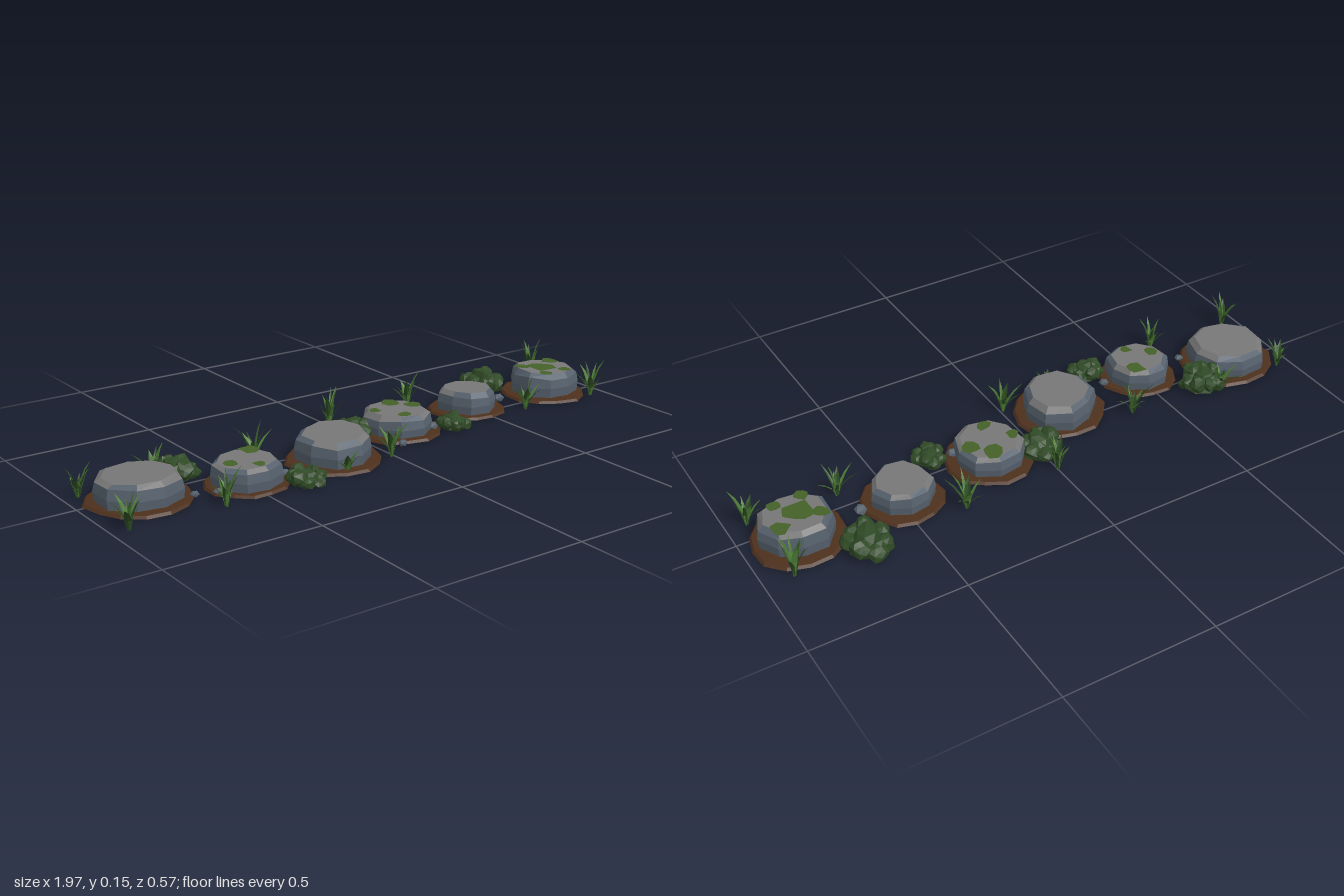
import * as THREE from 'three';
import { mergeGeometries, mergeVertices } from 'three/addons/utils/BufferGeometryUtils.js';

const material = (name, color, side = THREE.FrontSide) => {
  const m = new THREE.MeshStandardMaterial({ color, side, flatShading: true });
  m.name = name;
  return m;
};

// Small seeded generator, so every run is alike
const seeded = (s) => () => {
  s = (s * 16807 + 11) % 2147483647;
  return s / 2147483647;
};

const toGeometry = (points) => {
  const g = new THREE.BufferGeometry().setFromPoints(points);
  g.computeVertexNormals();
  return g;
};

// Walls between two rings of points, and a fan closing a ring
const wall = (low, high, i) => {
  const j = (i + 1) % low.length;
  return [low[i], high[i], low[j], low[j], high[i], high[j]];
};
const fan = (centre, ring, up = true) => ring.flatMap((p, i) => {
  const q = ring[(i + 1) % ring.length];
  return up ? [centre, q, p] : [centre, p, q];
});
const ringOf = (radii, scale, height) => radii.map((r, i) => {
  const a = (i / radii.length) * Math.PI * 2;
  const x = Math.cos(a) * r * scale, z = Math.sin(a) * r * scale;
  return new THREE.Vector3(x, typeof height === 'function' ? height(x, z) : height, z);
});

// Faceted lump with a flat underside
function lump(radius, squash, rnd, rough, detail = 1) {
  const raw = new THREE.IcosahedronGeometry(radius, detail);
  raw.deleteAttribute('normal');
  raw.deleteAttribute('uv');
  const g = mergeVertices(raw, 1e-4);
  const p = g.attributes.position;
  for (let i = 0; i < p.count; i++) {
    const k = 1 - rough / 2 + rnd() * rough;
    p.setXYZ(i, p.getX(i) * k, p.getY(i) * k * squash, p.getZ(i) * k);
  }
  return g.toNonIndexed();
}
function groundClamp(g) {
  const p = g.attributes.position;
  for (let i = 0; i < p.count; i++) p.setY(i, Math.max(0.001, p.getY(i)));
  g.computeVertexNormals();
  return g;
}

// Folded blade that bends outward: three cross-sections and a tip
function blade(angle, reach, height, width, start) {
  const out = new THREE.Vector3(Math.cos(angle), 0, Math.sin(angle));
  const across = new THREE.Vector3(-out.z, 0, out.x);
  const rows = [[0, 0.45], [0.35, 1], [0.7, 0.65], [1, 0]].map(([t, w]) => {
    const mid = out.clone().multiplyScalar(start + reach * t ** 1.6);
    mid.y = height * (1.25 * t - 0.25 * t * t);
    const edge = (s) => mid.clone().addScaledVector(across, s * w * width / 2)
      .addScaledVector(out, -w * width * 0.18);
    return [edge(-1), mid, edge(1)];
  });
  const pts = [];
  for (let r = 0; r < 3; r++) for (let s = 0; s < 2; s++) {
    const [a, b, c, d] = [rows[r][s], rows[r][s + 1], rows[r + 1][s], rows[r + 1][s + 1]];
    pts.push(a, c, b);
    if (r < 2) pts.push(b, c, d);
  }
  return toGeometry(pts);
}

export function createModel() {
  const root = new THREE.Group();
  root.name = 'steppingStonePath';
  const mats = {
    stoneTop: material('stone top grey', 0x777777),
    stoneSide: material('stone side slate', 0x56616d),
    soil: material('soil brown', 0x4d301d),
    moss: material('moss green', 0x456128, THREE.DoubleSide),
    bush: material('bush green', 0x304a26),
    light: material('light grass', 0x4d7c35, THREE.DoubleSide),
    dark: material('dark grass', 0x2d4d22, THREE.DoubleSide),
  };
  const add = (parent, name, geometry, mat) => {
    const m = new THREE.Mesh(geometry, mat);
    m.name = name;
    parent.add(m);
    return m;
  };
  const groupAt = (name, x, z) => {
    const g = new THREE.Group();
    g.name = name;
    g.position.set(x, 0, z);
    root.add(g);
    return g;
  };

  // Stones: x, z, soil radius, stone radius, height, moss patches [x, z, size]
  const stones = [
    [-0.815, 0.03, 0.162, 0.133, 0.085, []],
    [-0.5, 0.105, 0.128, 0.108, 0.082, [[0.045, -0.055, 0.03], [-0.06, 0.01, 0.025], [0.01, 0.06, 0.02]]],
    [-0.165, 0.077, 0.16, 0.126, 0.091, []],
    [0.155, -0.02, 0.148, 0.118, 0.077, [[0.02, -0.062, 0.033], [0.068, -0.01, 0.028], [-0.02, 0.066, 0.026], [-0.075, -0.02, 0.02]]],
    [0.48, -0.06, 0.132, 0.1, 0.082, []],
    [0.83, -0.052, 0.15, 0.116, 0.094, [[-0.015, 0, 0.045], [0.062, -0.045, 0.03], [-0.05, 0.065, 0.026], [-0.07, -0.04, 0.026], [0.04, 0.06, 0.02]]],
  ];
  stones.forEach(([x, z, soilR, stoneR, h, patches], k) => {
    const rnd = seeded(917 + k * 7331);
    rnd();
    const g = groupAt('steppingStone' + (k + 1), x, z);

    // Soil bed with a ragged rim
    const soilRadii = Array.from({ length: 13 }, () => soilR * (0.93 + rnd() * 0.12));
    const base = ringOf(soilRadii, 1, 0), rim = ringOf(soilRadii, 0.95, 0.008);
    const soil = [...fan(new THREE.Vector3(), base, false), ...fan(new THREE.Vector3(0, 0.016, 0), rim)];
    base.forEach((_, i) => soil.push(...wall(base, rim, i)));
    add(g, 'soilBed', toGeometry(soil), mats.soil);

    // Stone block with chipped bevels and a slightly tilted top
    const radii = Array.from({ length: 9 }, () => stoneR * (0.92 + rnd() * 0.14));
    const tx = (rnd() - 0.5) * 0.06, tz = (rnd() - 0.5) * 0.06;
    const top = (px, pz) => h - 0.003 + tx * px + tz * pz;
    const foot = ringOf(radii, 0.97, 0.004), belly = ringOf(radii, 1, h * 0.45);
    const shoulder = ringOf(radii, 0.95, () => h * (0.74 + rnd() * 0.12));
    const cap = ringOf(radii, 0.81, top);
    const sides = [], tops = fan(new THREE.Vector3(0, top(0, 0), 0), cap);
    radii.forEach((_, i) => {
      sides.push(...wall(foot, belly, i), ...wall(belly, shoulder, i));
      (rnd() < 0.5 ? tops : sides).push(...wall(shoulder, cap, i));
    });
    add(g, 'stoneSides', toGeometry(sides), mats.stoneSide);
    add(g, 'stoneTop', toGeometry(tops), mats.stoneTop);

    // Moss lying on the top face
    patches.forEach(([mx, mz, size]) => {
      const edge = ringOf(Array.from({ length: 8 }, () => size * (0.75 + rnd() * 0.5)), 1, 0);
      edge.forEach((p) => p.set(p.x + mx, top(p.x + mx, p.z + mz) + 0.002, p.z + mz));
      add(g, 'mossPatch', toGeometry(fan(new THREE.Vector3(mx, top(mx, mz) + 0.002, mz), edge)), mats.moss);
    });
  });

  // Bushes: a main lump ringed by smaller ones
  [[-0.655, -0.055, 0.072, 0.07], [-0.35, 0.205, 0.062, 0.05], [0, -0.07, 0.07, 0.07],
    [0.325, 0.065, 0.06, 0.05], [0.675, -0.205, 0.08, 0.085]].forEach(([x, z, r, h], k) => {
    const rnd = seeded(4021 + k * 977);
    const parts = [groundClamp(lump(r * 0.68, h / (r * 0.72), rnd, 0.3))];
    for (let i = 0; i < 7; i++) {
      const a = (i / 7) * Math.PI * 2 + rnd() * 0.5, s = r * (0.34 + rnd() * 0.12);
      const l = lump(s, 0.95, rnd, 0.4);
      l.translate(Math.cos(a) * r * 0.62, h * (0.2 + rnd() * 0.35), Math.sin(a) * r * 0.62);
      parts.push(groundClamp(l));
    }
    add(groupAt('bush' + (k + 1), x, z), 'foliage', mergeGeometries(parts), mats.bush);
  });

  // Grass tufts: x, z, height
  [[-0.95, -0.09, 0.11], [-0.945, 0.215, 0.12], [-0.7, -0.1, 0.11], [-0.64, 0.225, 0.125],
    [-0.37, -0.06, 0.13], [-0.2, 0.2, 0.07], [-0.01, 0.17, 0.11], [0, -0.185, 0.14],
    [0.335, -0.2, 0.13], [0.645, 0.06, 0.115], [0.905, -0.205, 0.15], [0.935, 0.075, 0.13],
  ].forEach(([x, z, h], k) => {
    const rnd = seeded(613 + k * 2699);
    rnd();
    const sets = { light: [], dark: [] };
    for (let i = 0; i < 9; i++) {
      const wide = i % 3 === 0, a = (i / 9) * Math.PI * 2 + rnd() * 0.6;
      const reach = wide ? 0.015 + rnd() * 0.035 : 0.03 + rnd() * 0.04;
      const tall = h * (i === 0 ? 1 : 0.5 + rnd() * 0.42);
      sets[i % 2 ? 'dark' : 'light'].push(
        blade(a, Math.min(reach, (0.995 - Math.abs(x)) * 1), tall, wide ? 0.024 : 0.013, 0.004));
    }
    const g = groupAt('grassTuft' + (k + 1), x, z);
    add(g, 'lightBlades', mergeGeometries(sets.light), mats.light);
    add(g, 'darkBlades', mergeGeometries(sets.dark), mats.dark);
  });

  // Pebbles beside the stones
  [[0.62, -0.055, 0.021], [0.075, 0.115, 0.016], [0.25, 0.045, 0.02], [-0.68, 0.11, 0.014],
    [-0.375, 0.12, 0.016], [-0.615, 0.13, 0.014]].forEach(([x, z, r], k) => {
    const l = lump(r, 0.75, seeded(331 + k * 59), 0.25, 0);
    l.translate(0, r * 0.7, 0);
    add(groupAt('pebble' + (k + 1), x, z), 'pebbleStone', groundClamp(l), mats.stoneSide);
  });
  return root;
}
